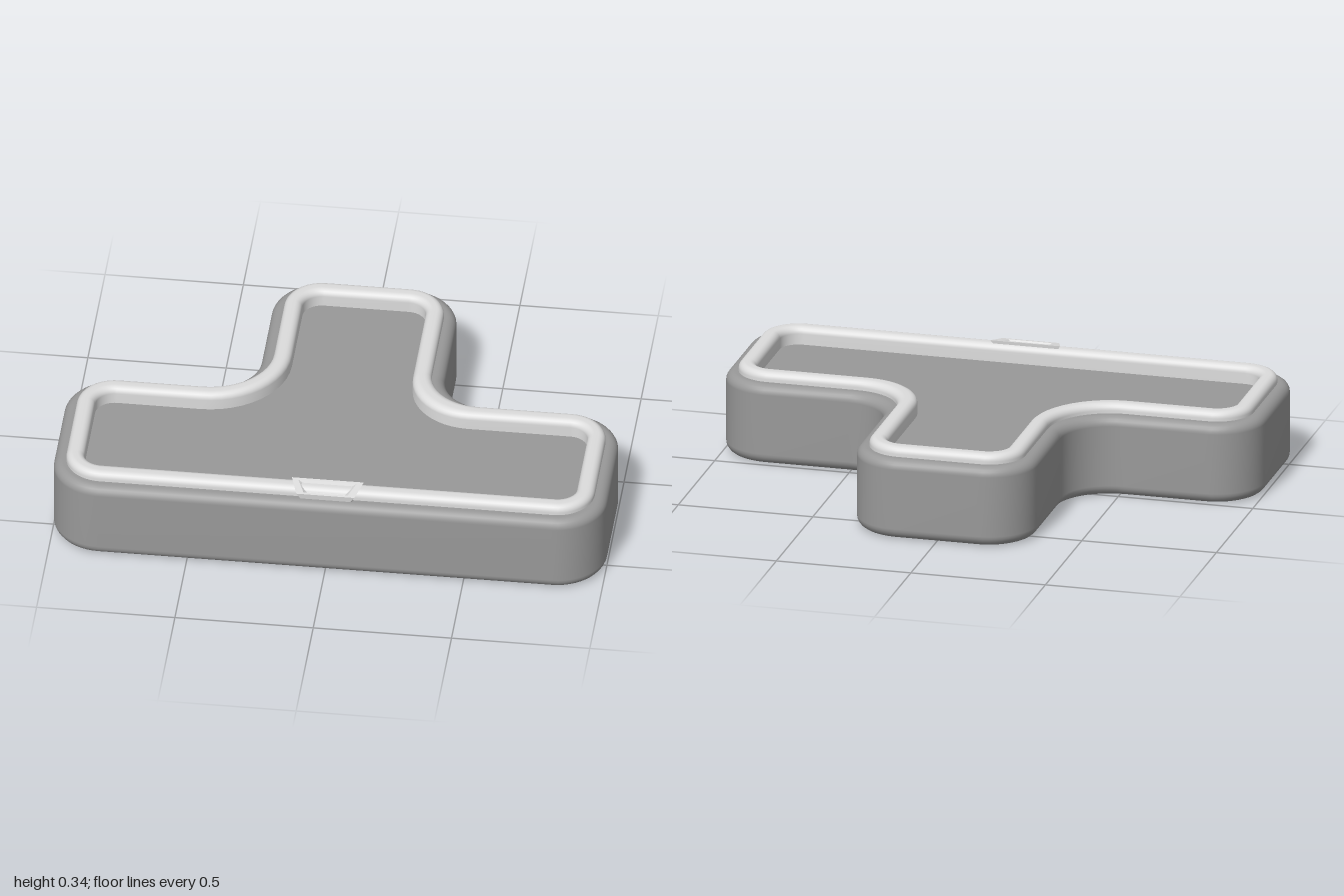
import * as THREE from 'three';
import { toCreasedNormals } from 'three/addons/utils/BufferGeometryUtils.js';

// Rounded T outline, inset by d, counter-clockwise in (x, -z)
function outline(d) {
  const w = 1 - d, t = 0.333 - d, f = -0.667 + d, k = 0.667 - d;
  const convex = 0.18 - d;
  const corners = [
    [-w, f, convex], [w, f, convex], [w, -d, convex], [t, -d, 0.17 + 0.5 * d],
    [t, k, convex], [-t, k, convex], [-t, -d, 0.185 + d], [-w, -d, convex],
  ];
  const points = [], n = corners.length, steps = 12;
  corners.forEach(([x, y, r], i) => {
    const c = new THREE.Vector2(x, y);
    const u = c.clone().sub(new THREE.Vector2(...corners[(i + n - 1) % n])).normalize();
    const v = new THREE.Vector2(...corners[(i + 1) % n]).sub(c).normalize();
    const centre = c.clone().addScaledVector(u, -r).addScaledVector(v, r);
    for (let s = 0; s <= steps; s++) {
      const a = (s / steps) * Math.PI / 2;
      points.push(centre.clone().addScaledVector(v, -r * Math.cos(a)).addScaledVector(u, r * Math.sin(a)));
    }
  });
  return points;
}

// Skin closed loops of [x, y, z] points in order
function skin(loops) {
  const n = loops[0].length, index = [];
  for (let i = 0; i < loops.length - 1; i++) {
    for (let j = 0; j < n; j++) {
      const a = i * n + j, b = i * n + (j + 1) % n;
      index.push(a, b, b + n, a, b + n, a + n);
    }
  }
  const geo = new THREE.BufferGeometry();
  geo.setAttribute('position', new THREE.Float32BufferAttribute(loops.flat(2), 3));
  geo.setIndex(index);
  geo.computeVertexNormals();
  return geo;
}

// Sweep a profile of [inset, y] around the outline
const sweep = (profile) => skin(profile.map(([d, y]) => outline(d).map((p) => [p.x, y, -p.y])));

// Quarter-round in the profile, from angle a0 to a1
function arc(cx, cy, r, a0, a1, steps = 6) {
  return Array.from({ length: steps + 1 }, (_, i) => {
    const a = a0 + (a1 - a0) * i / steps;
    return [cx - r * Math.cos(a), cy + r * Math.sin(a)];
  });
}

function cap(d, y, up) {
  const pts = outline(d).map((p) => new THREE.Vector2(p.x, up ? p.y : -p.y));
  return new THREE.ShapeGeometry(new THREE.Shape(pts)).rotateX(up ? -Math.PI / 2 : Math.PI / 2).translate(0, y, 0);
}

export function createModel() {
  const group = new THREE.Group();
  const grey = new THREE.MeshStandardMaterial({ color: 0x999999 });
  grey.name = 'mid grey';
  const light = new THREE.MeshStandardMaterial({ color: 0xdcdcdc });
  light.name = 'light grey';
  const add = (name, geo, mat) => {
    const mesh = new THREE.Mesh(geo, mat);
    mesh.name = name;
    group.add(mesh);
  };
  const Q = Math.PI / 2;

  // Body with rounded top and bottom edges
  add('body', sweep([
    ...arc(0.04, 0.04, 0.04, -Q, 0),
    ...arc(0.035, 0.265, 0.035, 0, Q),
    [0.08, 0.3],
  ]), grey);
  add('base', cap(0.04, 0, false), grey);
  add('recessedFloor', cap(0.105, 0.27, true), grey);

  // Raised rounded rim
  add('rim', sweep([
    [0.045, 0.295],
    ...arc(0.07, 0.31, 0.025, 0, Q),
    ...arc(0.085, 0.31, 0.025, Q, Math.PI),
    [0.11, 0.268],
  ]), light);

  // Flared pull tab with a shallow pocket at the front of the rim
  const section = (back, front, zBack, zFront, yBack, yFront) => [
    [-back, yBack, zBack], [-front, yFront, zFront], [front, yFront, zFront], [back, yBack, zBack],
  ];
  const tab = skin([
    section(0.105, 0.095, 0.58, 0.63, 0.298, 0.298),
    section(0.11, 0.09, 0.575, 0.645, 0.318, 0.308),
    section(0.13, 0.105, 0.572, 0.648, 0.345, 0.33),
    section(0.105, 0.08, 0.582, 0.638, 0.344, 0.331),
    section(0.085, 0.065, 0.588, 0.63, 0.332, 0.316),
  ]);
  add('pullTab', toCreasedNormals(tab, 0.4), light);

  // Pocket bottom
  const pocket = new THREE.BufferGeometry();
  const floor = section(0.085, 0.065, 0.588, 0.63, 0.332, 0.316);
  pocket.setAttribute('position', new THREE.Float32BufferAttribute(floor.flat(), 3));
  pocket.setIndex([0, 1, 2, 0, 2, 3]);
  pocket.computeVertexNormals();
  add('pullTabPocket', pocket, light);

  return group;
}
